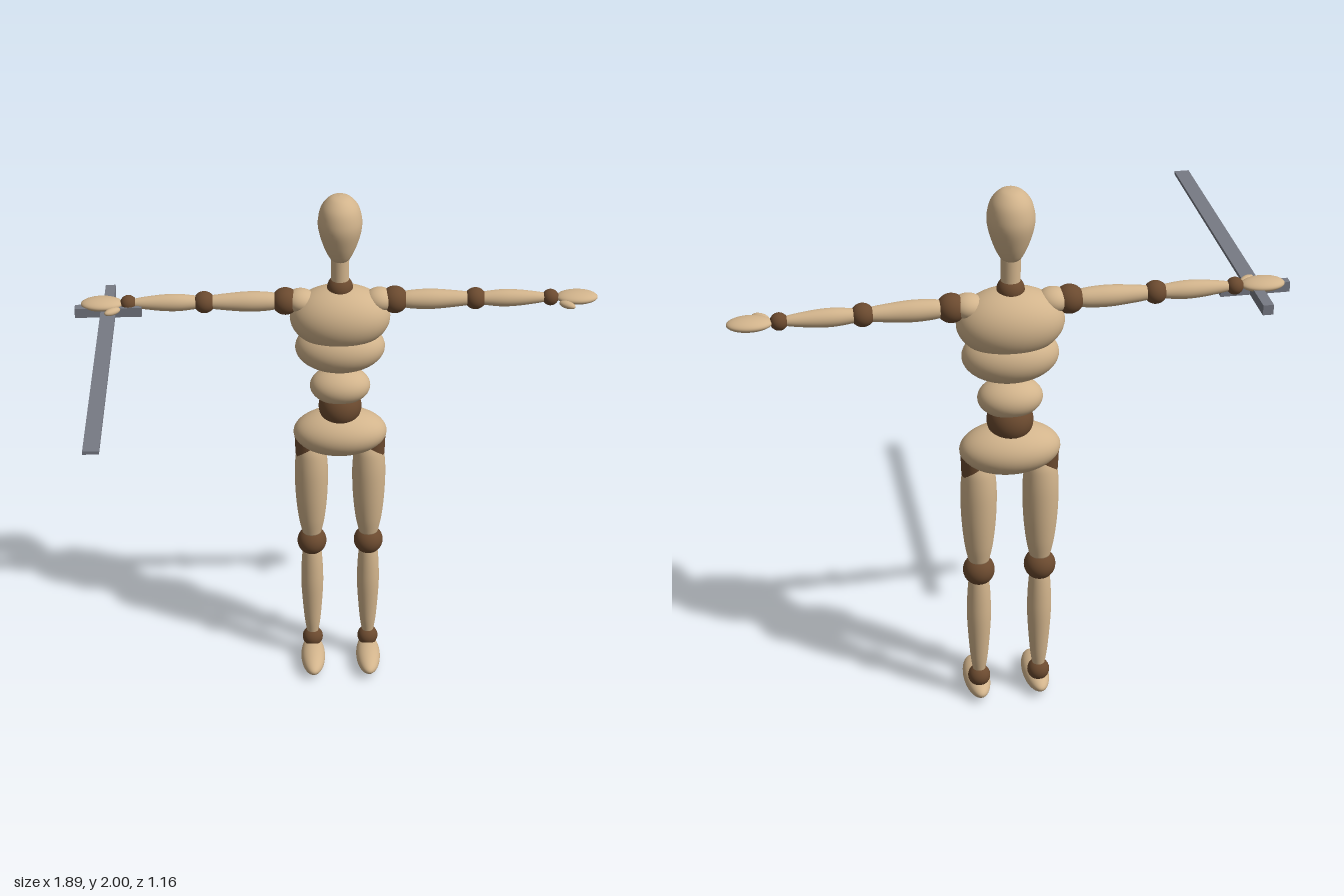
import * as THREE from 'three';

const mat = (name, color) => {
  const m = new THREE.MeshStandardMaterial({ color });
  m.name = name;
  return m;
};

export function createModel() {
  const wood = mat('paleWood', 0xd2b48c);
  const joint = mat('darkWood', 0x6b4a2f);
  const steel = mat('steel', 0x777a84);

  const model = new THREE.Group();
  model.name = 'woodenMannequin';
  const figure = new THREE.Group();
  figure.name = 'figure';
  figure.position.set(0.004, 0, -0.427);
  model.add(figure);

  const add = (parent, name, geometry, material, x, y, z = 0) => {
    const mesh = new THREE.Mesh(geometry, material);
    mesh.name = name;
    mesh.position.set(x, y, z);
    parent.add(mesh);
    return mesh;
  };
  const ellipsoid = (rx, ry, rz) => new THREE.SphereGeometry(1, 40, 28).scale(rx, ry, rz);
  const ball = (r) => ellipsoid(r, r, r);

  // Turned profile: [radius, height] control points smoothed by a spline, closed at both ends
  const turned = (points) => {
    const curve = new THREE.SplineCurve(points.map(([r, h]) => new THREE.Vector2(r, h)));
    const profile = curve.getPoints(32);
    profile.forEach((p) => { p.x = Math.max(p.x, 0); });
    return new THREE.LatheGeometry(
      [new THREE.Vector2(0, points[0][1]), ...profile, new THREE.Vector2(0, points.at(-1)[1])], 32);
  };

  // Egg-shaped head, narrower towards the chin
  const headGeo = turned([[0.025, 1.748], [0.04, 1.765], [0.06, 1.81], [0.077, 1.87],
    [0.078, 1.915], [0.065, 1.96], [0.035, 1.992], [0, 2]]);
  headGeo.scale(1, 1, 1.12);
  add(figure, 'head', headGeo, wood, 0, 0);
  add(figure, 'neck', new THREE.CylinderGeometry(0.033, 0.033, 0.13, 32), wood, 0, 1.71);
  add(figure, 'neckJoint', ball(0.047), joint, 0, 1.64);

  // Torso
  add(figure, 'upperChest', ellipsoid(0.183, 0.121, 0.122), wood, 0, 1.523);
  add(figure, 'lowerChest', ellipsoid(0.165, 0.097, 0.112), wood, 0, 1.4);
  add(figure, 'abdomen', ellipsoid(0.112, 0.071, 0.086), wood, 0, 1.237);
  add(figure, 'waistJoint', ball(0.08), joint, 0, 1.15);
  add(figure, 'pelvis', ellipsoid(0.175, 0.09, 0.112), wood, 0, 1.04);

  // Limb profiles; arms are turned onto the x axis
  const thigh = turned([[0.046, 0.99], [0.057, 0.95], [0.063, 0.87], [0.06, 0.76], [0.05, 0.66], [0.036, 0.59]].reverse());
  const shin = turned([[0.022, 0.12], [0.032, 0.19], [0.042, 0.33], [0.042, 0.42], [0.037, 0.5], [0.03, 0.54]]);
  const upperArm = turned([[0.024, -0.47], [0.031, -0.41], [0.037, -0.33], [0.034, -0.26], [0.026, -0.215]]);
  const forearm = turned([[0.014, -0.755], [0.022, -0.71], [0.03, -0.64], [0.031, -0.58], [0.023, -0.51]]);

  for (const [side, s] of [['left', 1], ['right', -1]]) {
    const leg = new THREE.Group();
    leg.name = side + 'Leg';
    leg.position.x = s * 0.109;
    figure.add(leg);
    add(leg, 'hipJoint', new THREE.CylinderGeometry(0.05, 0.047, 0.08, 32), joint, s * 0.012, 0.985);
    add(leg, 'thigh', thigh, wood, 0, 0);
    add(leg, 'knee', ball(0.056), joint, 0, 0.55);
    add(leg, 'shin', shin, wood, 0, 0);
    add(leg, 'ankle', ball(0.04), joint, 0, 0.092);
    add(leg, 'foot', ellipsoid(0.047, 0.039, 0.123), wood, 0, 0.041, 0.06);

    const arm = new THREE.Group();
    arm.name = side + 'Arm';
    arm.position.y = 1.588;
    figure.add(arm);
    add(arm, 'shoulderCap', ellipsoid(0.055, 0.043, 0.052), wood, s * 0.143, 0.002);
    add(arm, 'shoulder', ball(0.05), joint, s * 0.198, 0);
    add(arm, 'upperArm', upperArm, wood, 0, 0).rotation.z = s * Math.PI / 2;
    add(arm, 'elbow', ball(0.04), joint, s * 0.491, 0);
    add(arm, 'forearm', forearm, wood, 0, 0).rotation.z = s * Math.PI / 2;
    add(arm, 'wrist', ball(0.03), joint, s * 0.764, 0);
    add(arm, 'hand', ellipsoid(0.076, 0.022, 0.047), wood, s * 0.86, 0);
    const thumb = add(arm, 'thumb', ellipsoid(0.033, 0.013, 0.016), wood, s * 0.82, -0.006, 0.052);
    thumb.rotation.y = -s * 0.65;
  }

  // Sword held flat beneath the right hand
  const sword = new THREE.Group();
  sword.name = 'sword';
  sword.position.set(-0.833, 1.567, 0);
  model.add(sword);
  add(sword, 'blade', new THREE.BoxGeometry(0.054, 0.012, 0.98), steel, 0, 0, 0.09);
  add(sword, 'crossguard', new THREE.BoxGeometry(0.24, 0.036, 0.033), steel, 0, 0, -0.41);
  add(sword, 'grip', new THREE.BoxGeometry(0.036, 0.036, 0.18), steel, 0, 0, -0.492);

  return model;
}
